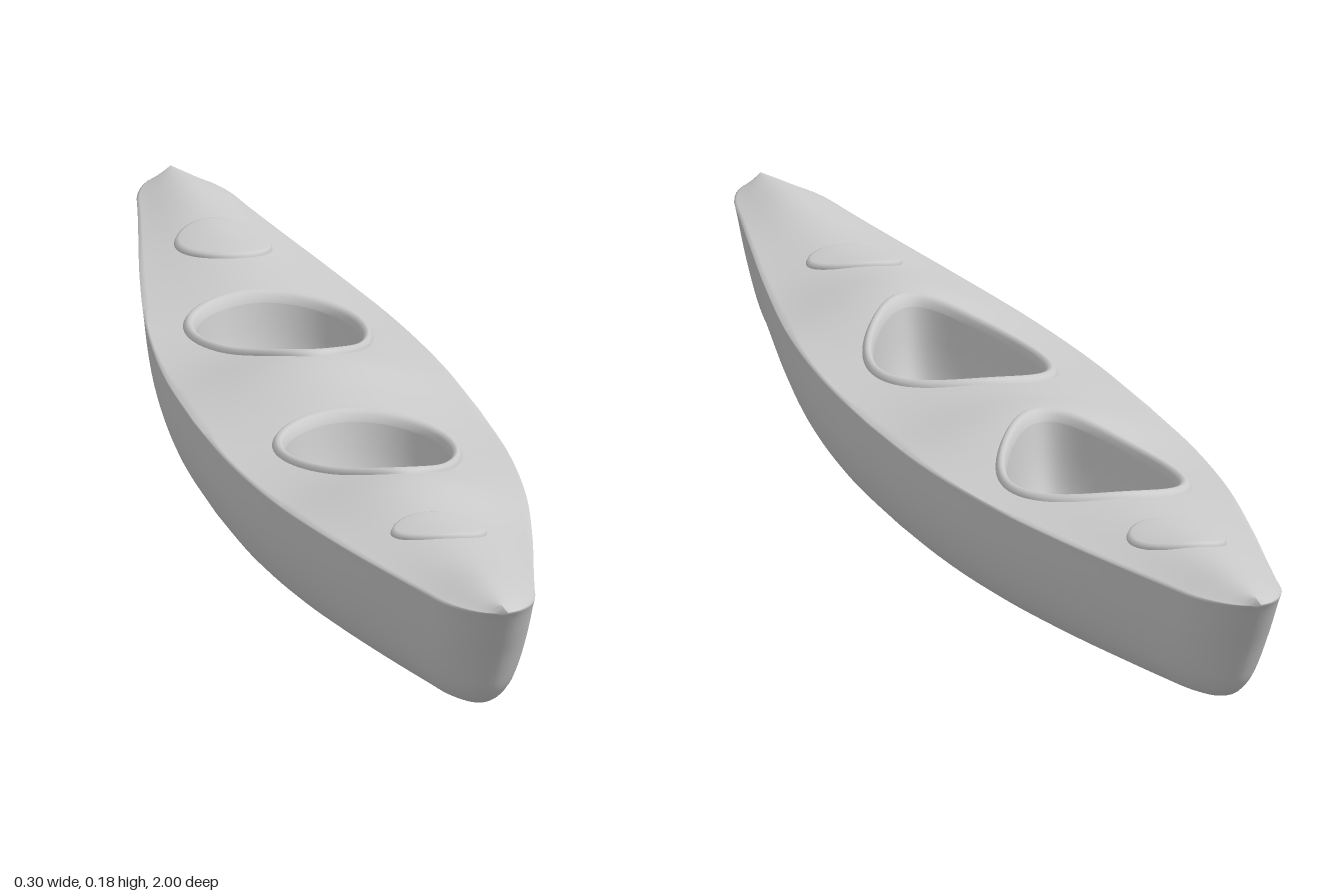
import * as THREE from 'three';
import { mergeVertices } from 'three/addons/utils/BufferGeometryUtils.js';

const material = new THREE.MeshStandardMaterial({ color: 0xcccccc, roughness: 0.7 });

// Smooth curve y(x) through sorted [x, y] points
function curve(pts) {
  const slope = (i) => {
    const a = pts[Math.max(0, i - 1)], b = pts[Math.min(pts.length - 1, i + 1)];
    return (b[1] - a[1]) / (b[0] - a[0]);
  };
  return (x) => {
    let i = 0;
    while (i < pts.length - 2 && x > pts[i + 1][0]) i++;
    const [x0, y0] = pts[i], [x1, y1] = pts[i + 1], h = x1 - x0, t = (x - x0) / h;
    const t2 = t * t, t3 = t2 * t;
    return y0 * (2 * t3 - 3 * t2 + 1) + y1 * (3 * t2 - 2 * t3)
      + h * (slope(i) * (t3 - 2 * t2 + t) + slope(i + 1) * (t3 - t2));
  };
}

// Smooth skin over rows of points, all rows equally long
function skin(name, rows) {
  const n = rows[0].length, index = [];
  for (let i = 0; i < rows.length - 1; i++) {
    for (let j = 0; j < n - 1; j++) {
      const a = i * n + j, b = a + 1, c = a + n, d = c + 1;
      index.push(a, c, b, b, c, d);
    }
  }
  let geo = new THREE.BufferGeometry();
  geo.setAttribute('position', new THREE.Float32BufferAttribute(rows.flat(2), 3));
  geo.setIndex(index);
  geo = mergeVertices(geo, 1e-5);
  geo.computeVertexNormals();
  const mesh = new THREE.Mesh(geo, material);
  mesh.name = name;
  return mesh;
}

// Plan half width, gunwale, keel and deck ridge along the boat
const plan = curve([[0, 0.15], [0.2, 0.146], [0.4, 0.13], [0.6, 0.102], [0.8, 0.069], [0.9, 0.053], [1, 0.042]]);
const halfWidth = (z) => {
  const s = Math.min(1, Math.abs(z)), e = Math.max(0, (s - 0.9) / 0.1);
  return plan(s) * Math.sqrt(Math.max(0, 1 - e * e));
};
const gunwale = (z) => 0.141 + 0.022 * z * z;
const keel = (z) => 0.03 * z * z;
const ridge = curve([[-1, 0.172], [-0.9, 0.175], [-0.7, 0.168], [-0.5, 0.161], [-0.35, 0.154], [-0.25, 0.16],
  [-0.12, 0.174], [0, 0.165], [0.1, 0.157], [0.2, 0.155], [0.32, 0.164], [0.45, 0.177], [0.6, 0.167],
  [0.75, 0.168], [0.9, 0.175], [1, 0.172]]);
function deckY(x, z) {
  const u = Math.min(1, Math.abs(x) / Math.max(1e-6, halfWidth(z)));
  const crown = 0.25 * (1 + Math.cos(Math.PI * u)) + 0.5 * (1 - u * u);
  return gunwale(z) + (ridge(z) - gunwale(z)) * crown;
}

// Egg-shaped cockpits, wide at the back and narrow at the front
const HALF = 0.174, WIDE = 0.09, TAPER = 0.33;
const cockpits = [0.236, -0.303];
const cockpitWidth = (c) => WIDE * Math.sqrt(Math.max(0, 1 - c * c)) * (1 - TAPER * c);
function openingAt(z) {
  for (const mid of cockpits) {
    const c = (z - mid) / HALF;
    if (Math.abs(c) < 1) return cockpitWidth(c);
  }
  return 0;
}

// Hull and deck: half section from gunwale to keel as (width, height, length) fractions
const section = new THREE.CatmullRomCurve3([[1, 1, 1], [0.995, 0.93, 0.99], [0.98, 0.72, 0.965], [0.95, 0.55, 0.945],
  [0.88, 0.36, 0.925], [0.78, 0.22, 0.91], [0.62, 0.11, 0.89], [0.4, 0.045, 0.86], [0.2, 0.012, 0.83], [0, 0, 0.8]]
  .map((p) => new THREE.Vector3(...p))).getPoints(30);

function createHull() {
  const breaks = [-1, cockpits[1] - HALF, cockpits[1] + HALF, cockpits[0] - HALF, cockpits[0] + HALF, 1];
  const stations = [-1];
  for (let k = 0; k < 5; k++) {
    for (let i = 1; i <= 30; i++) {
      stations.push(breaks[k] + (breaks[k + 1] - breaks[k]) * 0.5 * (1 - Math.cos(Math.PI * i / 30)));
    }
  }
  const DECK = 16;
  const rows = stations.map((s) => {
    const w = halfWidth(s), inner = openingAt(s), half = [];
    for (let i = 0; i < DECK; i++) {
      const x = Math.min(w, inner + (w - inner) * i / DECK);
      half.push([x, deckY(x, s), s]);
    }
    for (const p of section) half.push([w * p.x, keel(s) + (gunwale(s) - keel(s)) * p.y, s * p.z]);
    const other = half.slice(0, -1).reverse().map(([x, y, z]) => [-x, y, z]);
    return [...half, ...other];
  });
  return skin('hullAndDeck', rows);
}

// Nested rings [scale, height above deck, sink toward floor] following the deck
function rings(name, mid, outline, list, floor = 0) {
  const rows = list.map(([scale, lift, sink = 0]) => {
    const row = [];
    for (let j = 0; j <= 72; j++) {
      const a = (j % 72) / 72 * Math.PI * 2;
      const [ox, oz] = outline(a);
      const x = -ox * scale, z = mid + oz * scale;
      row.push([x, THREE.MathUtils.lerp(deckY(x, z) + lift, floor, sink), z]);
    }
    return row;
  });
  return skin(name, rows);
}

export function createModel() {
  const kayak = new THREE.Group();
  kayak.name = 'kayak';
  kayak.add(createHull());

  // Cockpit lips and bowls
  const egg = (a) => [Math.sin(a) * WIDE * (1 - TAPER * Math.cos(a)), Math.cos(a) * HALF];
  const lip = [[1.03, -0.004], [1.02, 0.001], [1, 0.004], [0.97, 0.006], [0.935, 0.005], [0.905, 0.001], [0.89, -0.006]];
  const bowl = [[0.89, -0.006], [0.88, 0, 0.15], [0.86, 0, 0.32], [0.83, 0, 0.5], [0.78, 0, 0.67], [0.71, 0, 0.81],
    [0.61, 0, 0.91], [0.48, 0, 0.97], [0.3, 0, 1], [0, 0, 1]];
  cockpits.forEach((mid, i) => {
    const place = i === 0 ? 'front' : 'rear';
    kayak.add(rings(place + 'CockpitRim', mid, egg, lip));
    kayak.add(rings(place + 'CockpitBowl', mid, egg, bowl, 0.045));
  });

  // Raised hatch covers
  const cover = [[1, -0.004], [1, 0.001], [0.97, 0.004], [0.9, 0.005], [0.6, 0.005], [0.3, 0.005], [0, 0.005]];
  for (const [name, mid, rx, rz] of [['frontHatch', 0.622, 0.05, 0.05], ['rearHatch', -0.682, 0.05, 0.074]]) {
    kayak.add(rings(name, mid, (a) => [Math.sin(a) * rx, Math.cos(a) * rz], cover));
  }
  return kayak;
}
